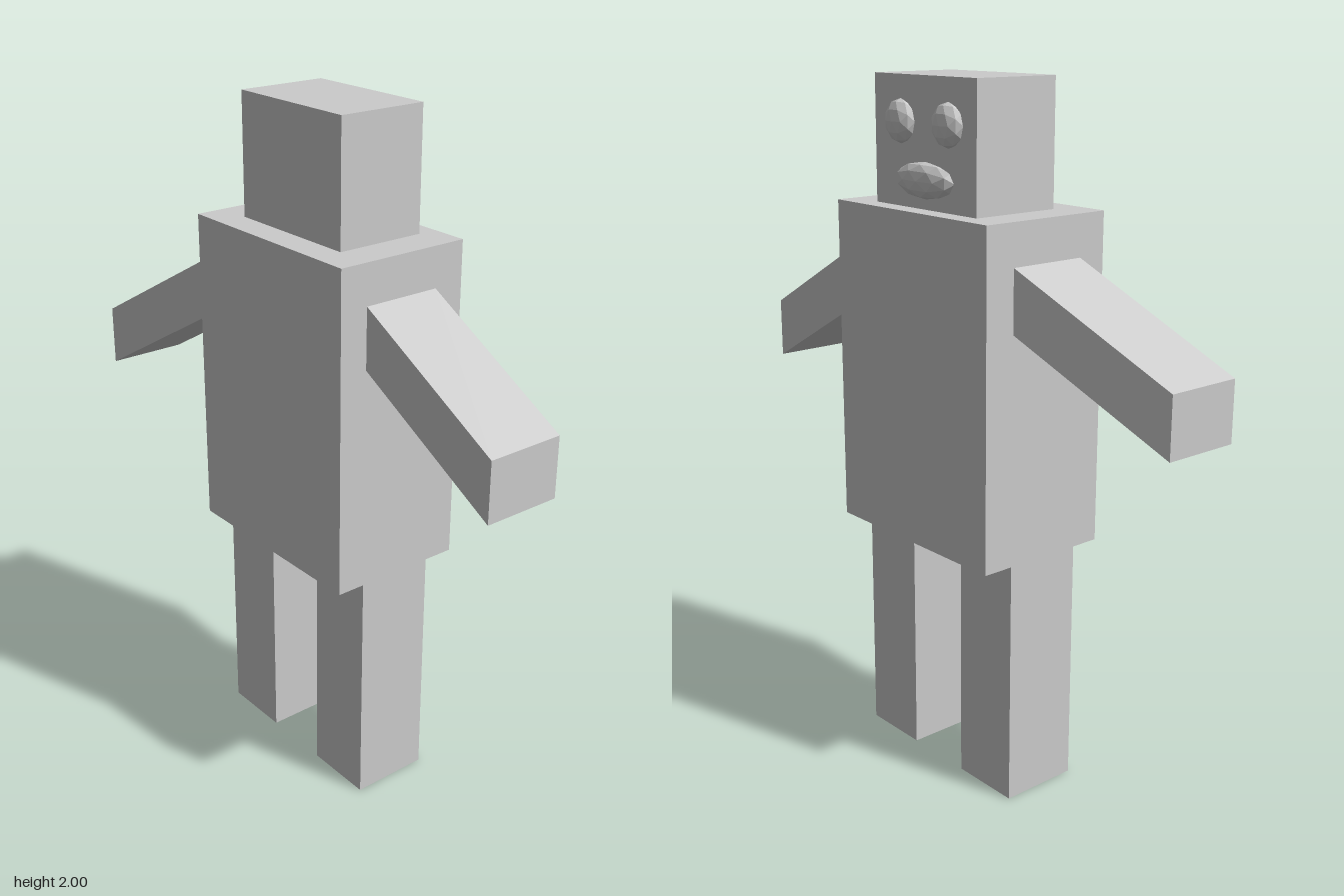
import * as THREE from 'three';

export function createModel() {
  const model = new THREE.Group();
  const material = new THREE.MeshStandardMaterial({ color: 0xcccccc, flatShading: true });

  function add(name, geometry) {
    const mesh = new THREE.Mesh(geometry, material);
    mesh.name = name;
    model.add(mesh);
    return mesh;
  }

  // Box given by its limits along each axis
  function block(name, [x0, x1], [y0, y1], [z0, z1]) {
    const geometry = new THREE.BoxGeometry(x1 - x0, y1 - y0, z1 - z0);
    geometry.translate((x0 + x1) / 2, (y0 + y1) / 2, (z0 + z1) / 2);
    return add(name, geometry);
  }

  // Block whose outer end (far from z = 0) is slid by dx and dy
  function arm(name, zShoulder, zHand, dx, dy) {
    const mesh = block(name, [-0.095, 0.14], [1.36, 1.535],
      [Math.min(zShoulder, zHand), Math.max(zShoulder, zHand)]);
    const p = mesh.geometry.attributes.position;
    for (let i = 0; i < p.count; i++) {
      const t = (p.getZ(i) - zShoulder) / (zHand - zShoulder);
      p.setX(i, p.getX(i) + dx * t);
      p.setY(i, p.getY(i) + dy * t);
    }
    mesh.geometry.computeVertexNormals();
  }

  // Flattened faceted ball set into the face
  function faceBall(name, y, z, ry, rz) {
    const mesh = add(name, new THREE.IcosahedronGeometry(1, 1));
    mesh.scale.set(0.035, ry, rz);
    mesh.position.set(0.173, y, z);
  }

  // Body
  block('torso', [-0.18, 0.232], [0.715, 1.652], [-0.34, 0.298]);
  block('head', [-0.095, 0.175], [1.652, 2], [-0.235, 0.19]);

  // Legs
  block('legPlusZ', [-0.095, 0.14], [0, 0.715], [0.088, 0.298]);
  block('legMinusZ', [-0.095, 0.14], [0, 0.715], [-0.34, -0.127]);

  // Arms: one hangs straight out, the other also swings back
  arm('armPlusZ', 0.298, 0.765, 0, -0.258);
  arm('armMinusZ', -0.34, -0.765, -0.141, -0.268);

  // Face
  for (const z of [0.077, -0.122]) faceBall('eye', 1.878, z, 0.06, 0.06);
  faceBall('mouth', 1.729, -0.024, 0.05, 0.122);

  return model;
}
